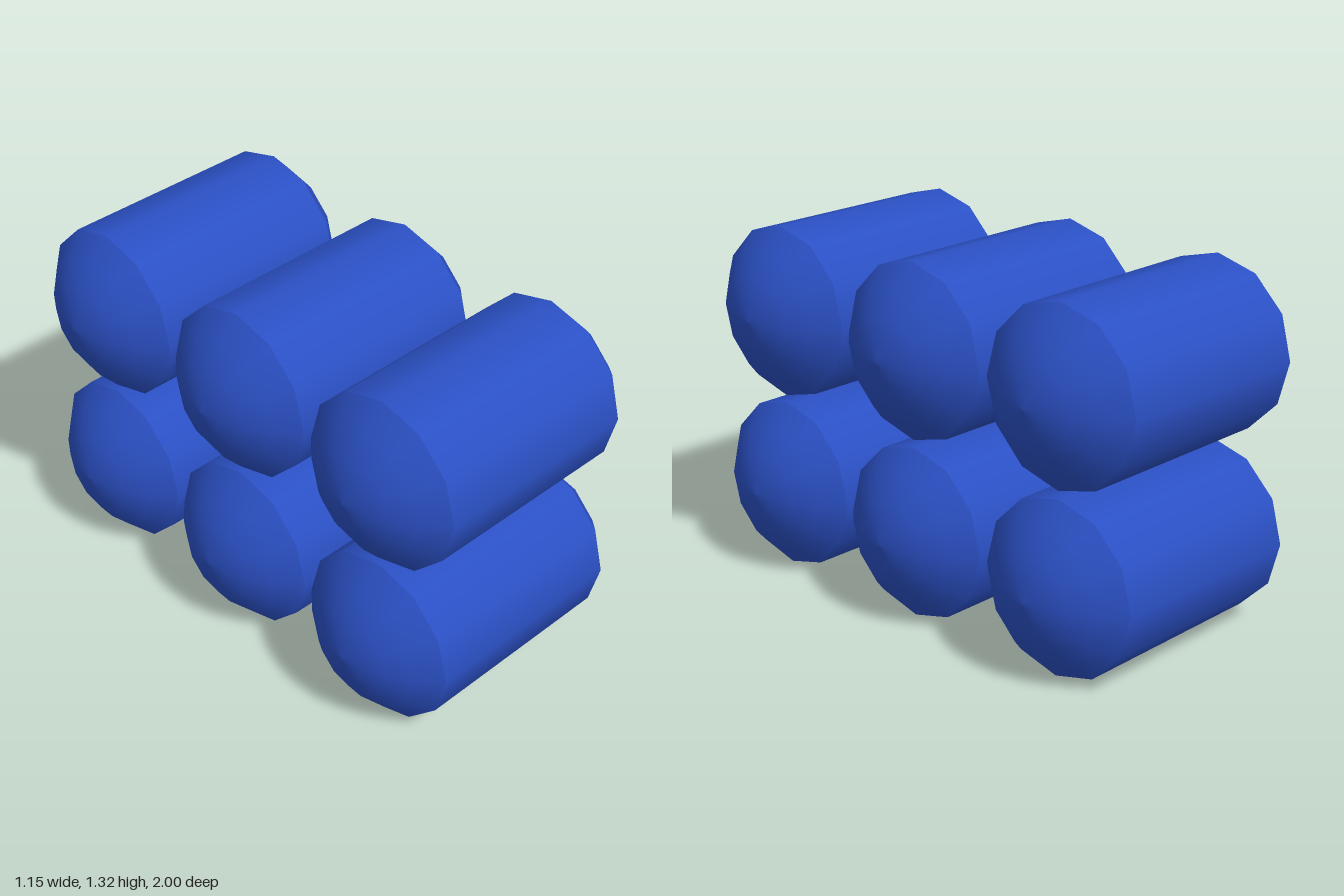
import * as THREE from 'three';

const RADIUS = 0.322, HALF = 0.404, BULGE = 0.17, SIDES = 12, RINGS = 4;

export function createModel() {
  const model = new THREE.Group();
  model.name = 'stackedBarrels';
  const material = new THREE.MeshStandardMaterial({ color: 0x2b50c4 });

  // Open tube lying along x, smooth around its twelve sides
  const bodyGeometry = new THREE.CylinderGeometry(RADIUS, RADIUS, HALF * 2, SIDES, 1, true);
  bodyGeometry.rotateZ(-Math.PI / 2);

  // Shallow parabolic dome, kept separate so the rim stays sharp
  const profile = [];
  for (let i = RINGS; i >= 0; i--) {
    const t = i / RINGS;
    profile.push(new THREE.Vector2(RADIUS * t, HALF + BULGE * (1 - t * t)));
  }
  const leftDome = new THREE.LatheGeometry(profile, SIDES).rotateZ(-Math.PI / 2);
  const rightDome = leftDome.clone().rotateY(Math.PI);

  const addPart = (group, name, geometry) => {
    const mesh = new THREE.Mesh(geometry, material);
    mesh.name = name;
    group.add(mesh);
  };

  // Two rows of three barrels
  [['lower', RADIUS], ['upper', 0.995]].forEach(([row, y]) => {
    [['Back', -0.678], ['Middle', 0], ['Front', 0.678]].forEach(([place, z]) => {
      const barrel = new THREE.Group();
      barrel.name = `${row}${place}Barrel`;
      addPart(barrel, 'body', bodyGeometry);
      addPart(barrel, 'leftDome', leftDome);
      addPart(barrel, 'rightDome', rightDome);
      barrel.position.set(0, y, z);
      model.add(barrel);
    });
  });
  return model;
}
